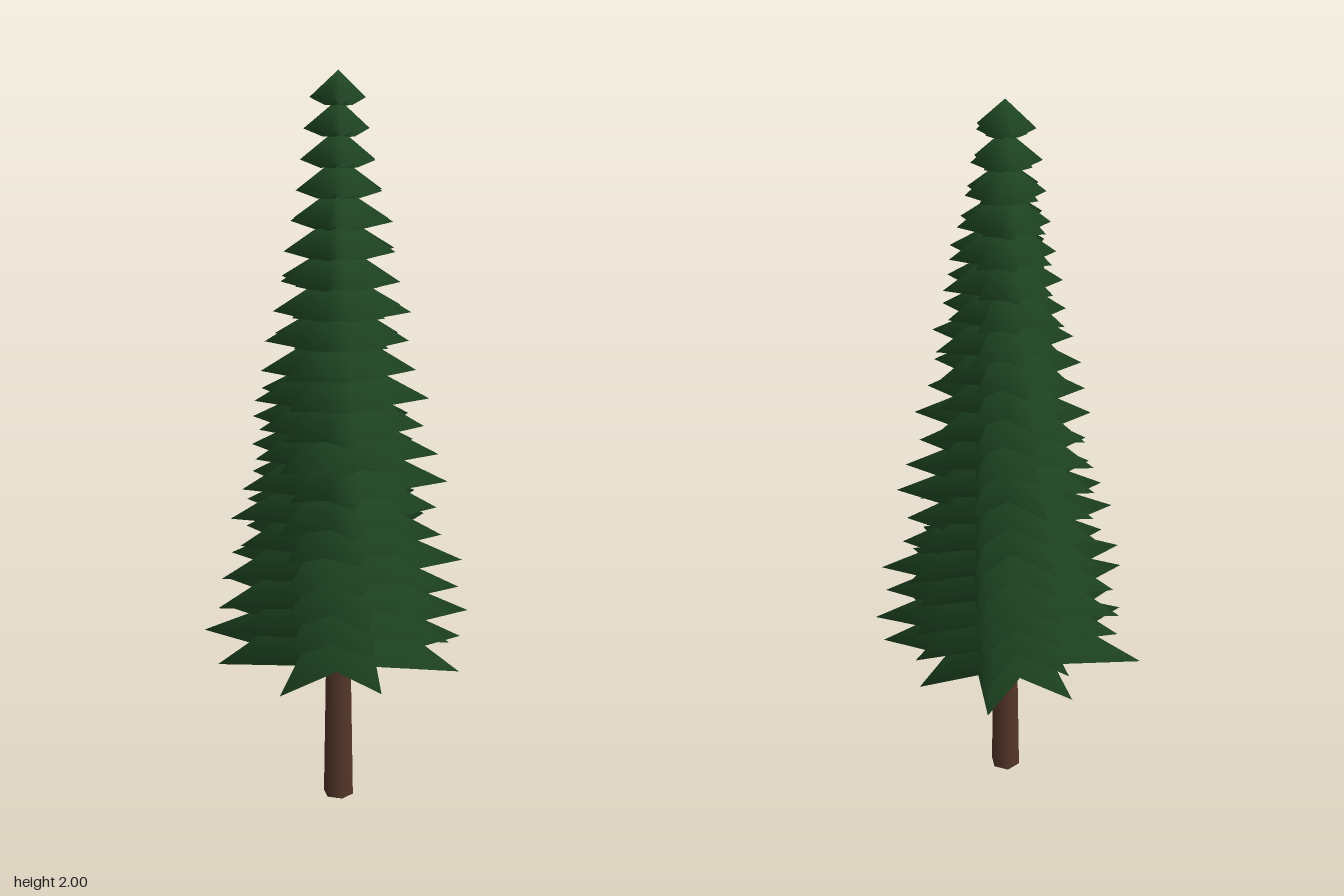
import * as THREE from 'three';

const LAYERS = 20, POINTS = 9, STEP = 0.0775, BASE = 0.44;
const TWIST = THREE.MathUtils.degToRad(1.5);
const CENTRE = { x: 0.013, z: -0.022 };

// Small seeded generator for the natural unevenness of the boughs
function makeRandom(seed) {
  return () => {
    seed = (seed * 16807) % 2147483647;
    return seed / 2147483647;
  };
}

// Star-shaped skirt: long raised tips, short lower valleys, a peak and a shallow underside.
// Corners are shared, so the shading rolls softly over the rim.
function skirtGeometry(tips, valley, height, lift, angleAt) {
  const n = POINTS * 2;
  const pos = [0, height, 0, 0, 0, 0];
  const index = [];
  for (let i = 0; i < n; i++) {
    const isTip = i % 2 === 0;
    const r = isTip ? tips[i / 2] : valley;
    const a = angleAt(i);
    pos.push(Math.cos(a) * r, isTip ? lift : 0, Math.sin(a) * r);
    const p = 2 + i, q = 2 + ((i + 1) % n);
    index.push(0, q, p, 1, p, q);
  }
  const g = new THREE.BufferGeometry();
  g.setAttribute('position', new THREE.Float32BufferAttribute(pos, 3));
  g.setIndex(index);
  g.computeVertexNormals();
  return g;
}

export function createModel() {
  const tree = new THREE.Group();
  tree.name = 'coniferTree';
  const needles = new THREE.MeshStandardMaterial({ color: 0x214b25 });
  needles.name = 'needleGreen';
  const bark = new THREE.MeshStandardMaterial({ color: 0x56372a });
  bark.name = 'barkBrown';

  // Tapered trunk, running up inside the boughs
  const trunk = new THREE.Mesh(new THREE.CylinderGeometry(0.012, 0.043, 1.75, 6), bark);
  trunk.geometry.rotateY(Math.PI / 6);
  trunk.name = 'trunk';
  trunk.position.set(CENTRE.x, 0.875, CENTRE.z);
  tree.add(trunk);

  // Stacked skirts of boughs, shrinking and slowly turning towards the top
  const random = makeRandom(4711);
  const lowestTips = [0.325, 0.344, 0.383, 0.377, 0.403, 0.361, 0.391, 0.335, 0.351];
  const boughs = new THREE.Group();
  boughs.name = 'boughs';
  for (let k = 0; k < LAYERS; k++) {
    const t = k / (LAYERS - 1);
    const radius = 0.365 - 0.29 * Math.pow(t, 1.08);
    const tips = lowestTips.map((r) => (k === 0 ? r : radius * (0.86 + 0.19 * random())));
    const jitter = Array.from({ length: POINTS * 2 }, () => (random() - 0.5) * 0.05);
    const height = THREE.MathUtils.lerp(0.2, 0.0875, t);
    const geometry = skirtGeometry(tips, radius * 0.465, height, 0.02,
      (i) => -0.055 + k * TWIST + (i * Math.PI) / POINTS + jitter[i]);
    const skirt = new THREE.Mesh(geometry, needles);
    skirt.name = `boughLayer${k + 1}`;
    skirt.position.set(CENTRE.x, BASE + k * STEP, CENTRE.z);
    boughs.add(skirt);
  }
  tree.add(boughs);
  return tree;
}
